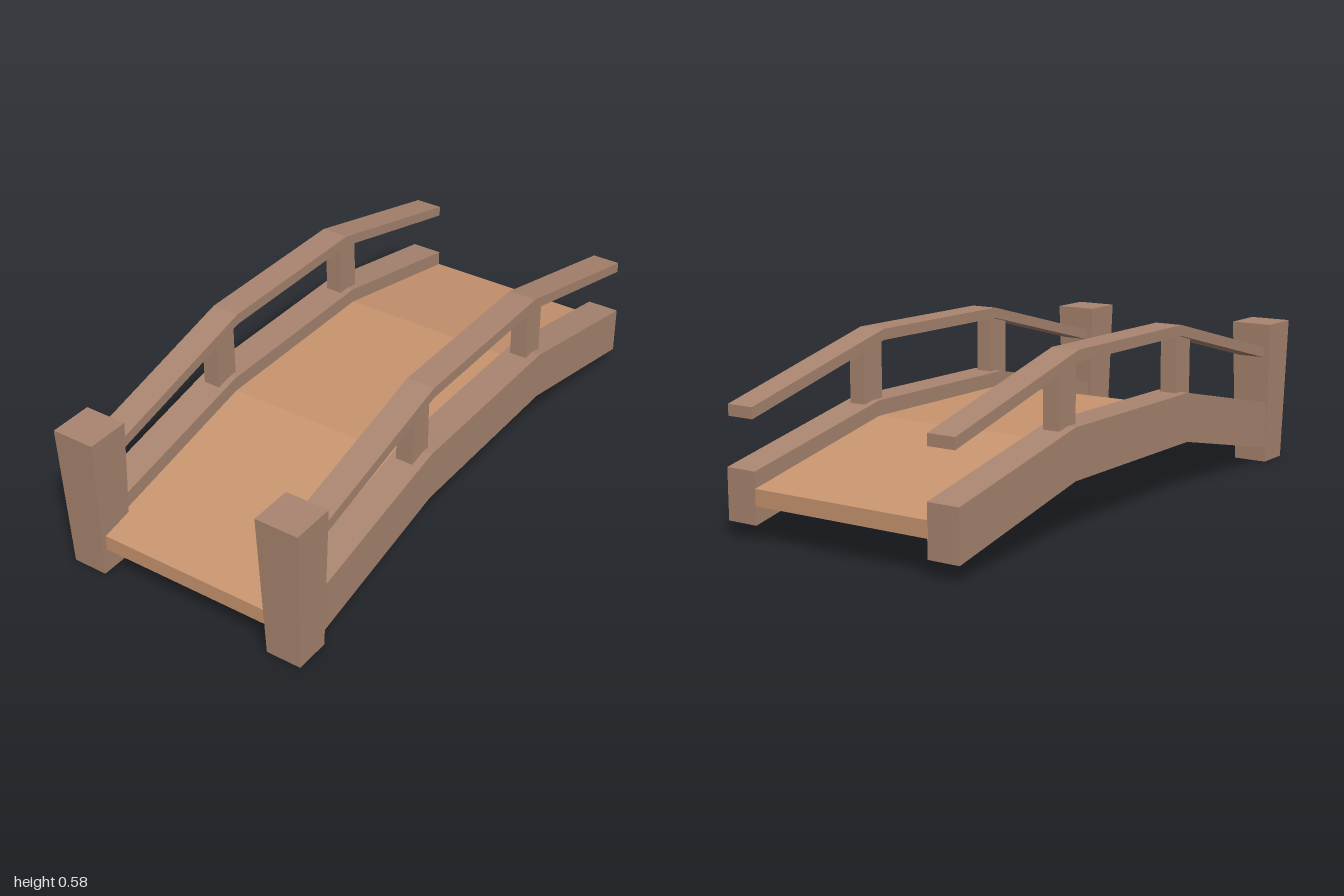
import * as THREE from 'three';

const darkWood = new THREE.MeshStandardMaterial({ color: 0xa98570, flatShading: true });
const lightWood = new THREE.MeshStandardMaterial({ color: 0xc8956f, flatShading: true });

// Bent plank: top line of [z, y] points, vertical thickness, extruded across x
function plank(name, top, thickness, x0, x1, material) {
  const outline = [...top, ...top.map(([z, y]) => [z, y - thickness]).reverse()];
  const shape = new THREE.Shape(outline.map(([z, y]) => new THREE.Vector2(-z, y)));
  const geometry = new THREE.ExtrudeGeometry(shape, { depth: x1 - x0, bevelEnabled: false });
  geometry.rotateY(Math.PI / 2); // shape x becomes -z, depth becomes x
  geometry.translate(x0, 0, 0);
  const mesh = new THREE.Mesh(geometry, material);
  mesh.name = name;
  return mesh;
}

// Square post that narrows towards its foot
function taperedPost(name, x, z, height, topWidth, footWidth) {
  const geometry = new THREE.BoxGeometry(1, height, 1);
  const p = geometry.attributes.position;
  for (let i = 0; i < p.count; i++) {
    const w = p.getY(i) > 0 ? topWidth : footWidth;
    p.setX(i, p.getX(i) * w);
    p.setZ(i, p.getZ(i) * w);
  }
  geometry.computeVertexNormals();
  const mesh = new THREE.Mesh(geometry, darkWood);
  mesh.name = name;
  mesh.position.set(x, height / 2, z);
  return mesh;
}

export function createModel() {
  const bridge = new THREE.Group();
  bridge.name = 'footbridge';

  // Arched walking deck
  bridge.add(plank('deck',
    [[0.97, 0.143], [0.28, 0.295], [-0.41, 0.295], [-1, 0.168]],
    0.054, -0.33, 0.33, lightWood));

  for (const [side, s] of [['left', 1], ['right', -1]]) {
    const span = (a, b) => (s > 0 ? [a, b] : [-b, -a]);

    // Side beam carrying the deck
    bridge.add(plank(side + 'Beam',
      [[0.9, 0.213], [0.28, 0.346], [-0.41, 0.346], [-1, 0.221]],
      0.168, ...span(0.327, 0.44), darkWood));

    // Handrail
    bridge.add(plank(side + 'Handrail',
      [[0.9, 0.413], [0.25, 0.578], [-0.375, 0.578], [-1, 0.418]],
      0.037, ...span(0.33, 0.428), darkWood));

    // Short uprights between beam and handrail
    for (const [where, z] of [['Front', 0.295], ['Back', -0.41]]) {
      const upright = new THREE.Mesh(new THREE.BoxGeometry(0.06, 0.23, 0.09), darkWood);
      upright.name = side + where + 'Upright';
      upright.position.set(s * 0.38, 0.425, z);
      bridge.add(upright);
    }

    // Entrance post
    bridge.add(taperedPost(side + 'EntrancePost', s * 0.379, 0.925, 0.508, 0.15, 0.123));
  }
  return bridge;
}
